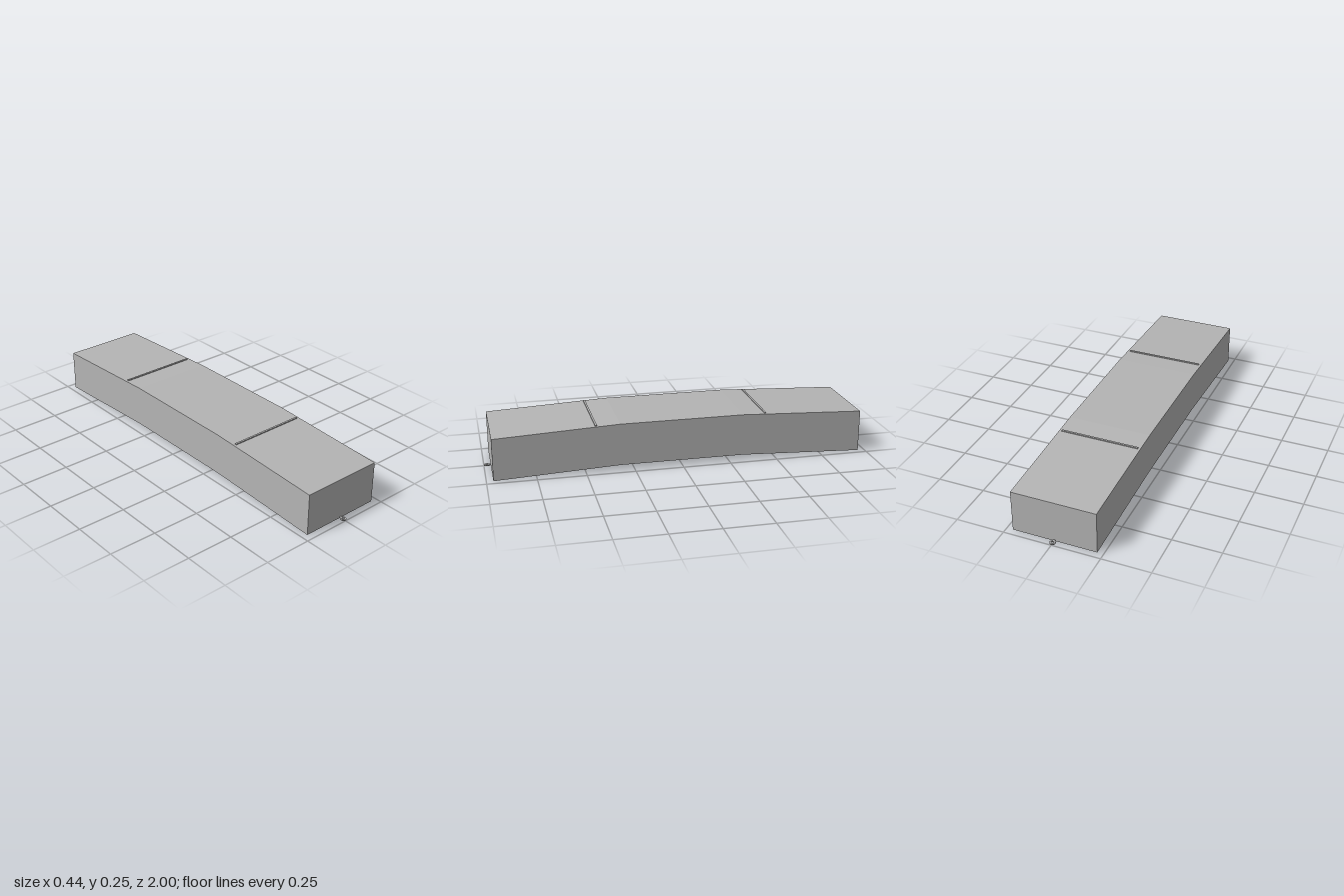
import * as THREE from 'three';

const END = 0.965, KINK = END / 3, RISE = 0.029, HEIGHT = 0.22;

// Flat shape in x/z, extruded upward from y = 0
function slab(shape, height) {
  return new THREE.ExtrudeGeometry(shape, { depth: height, bevelEnabled: false, curveSegments: 16 })
    .rotateX(-Math.PI / 2);
}

export function createModel() {
  const model = new THREE.Group();
  const grey = new THREE.MeshStandardMaterial({ color: 0xb4b4b4 });
  grey.name = 'grey';

  function add(geometry, name, parent = model) {
    const mesh = new THREE.Mesh(geometry, grey);
    mesh.name = name;
    parent.add(mesh);
    return mesh;
  }

  // Arched deck: three straight segments, extruded across its width
  const profile = new THREE.Shape([
    [-END, 0], [-KINK, RISE], [KINK, RISE], [END, 0],
    [END, HEIGHT], [KINK, HEIGHT + RISE], [-KINK, HEIGHT + RISE], [-END, HEIGHT],
  ].map(([z, y]) => new THREE.Vector2(z, y)));
  const deck = new THREE.ExtrudeGeometry(profile, { depth: 0.436, bevelEnabled: false });
  deck.translate(0, 0, -0.218).rotateY(-Math.PI / 2);
  add(deck, 'deck');

  // Eyelet: neck and pierced disc
  const disc = new THREE.Shape().absarc(0, 0, 0.015, 0, Math.PI * 2);
  disc.holes.push(new THREE.Path().absarc(0, 0, 0.007, 0, Math.PI * 2, true));
  const eyeletGeometry = slab(disc, 0.005);
  const neckGeometry = new THREE.BoxGeometry(0.01, 0.005, 0.014);

  for (const side of [1, -1]) {
    const end = side > 0 ? 'front' : 'back';

    // Raised cross rib on each sloping part
    const rib = add(new THREE.BoxGeometry(0.41, 0.008, 0.01), end + 'Rib');
    rib.position.set(0, 0.2445, side * 0.443);

    // Eyelet at the foot of each end
    const eyelet = new THREE.Group();
    eyelet.name = end + 'Eyelet';
    eyelet.position.set(0, 0.002, side * 0.985);
    add(eyeletGeometry, 'eyeletRing', eyelet);
    add(neckGeometry, 'eyeletNeck', eyelet).position.set(0, 0.0025, -side * 0.017);
    model.add(eyelet);
  }
  return model;
}
